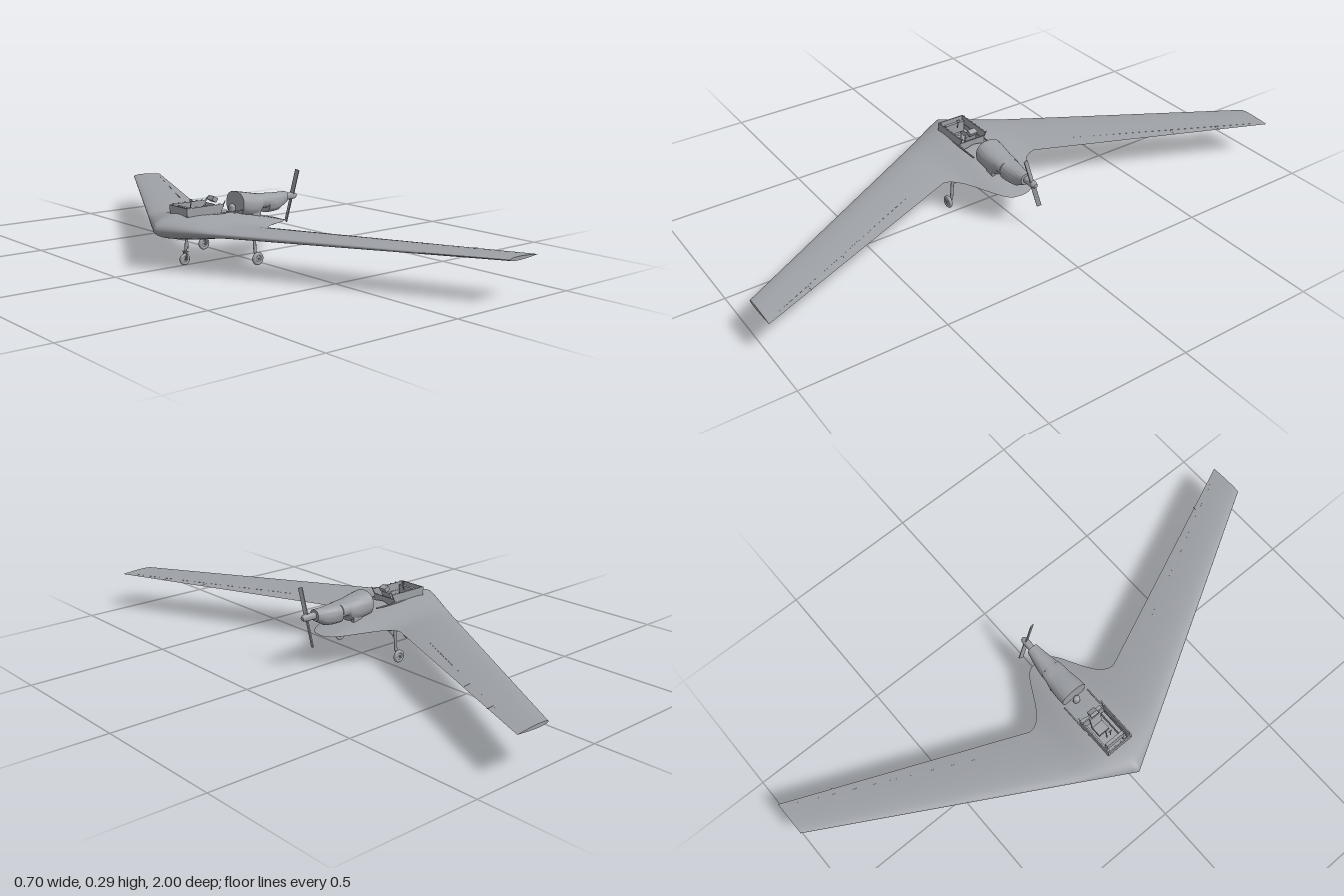
import * as THREE from 'three';
import { toCreasedNormals } from 'three/addons/utils/BufferGeometryUtils.js';

const grey = new THREE.MeshStandardMaterial({ color: 0x9da0a5, side: THREE.DoubleSide });
grey.name = 'airframe grey';

function add(parent, name, geometry, x = 0, y = 0, z = 0) {
  const m = new THREE.Mesh(geometry, grey);
  m.name = name;
  m.position.set(x, y, z);
  parent.add(m);
  return m;
}
const box = (p, name, w, h, d, x, y, z) => add(p, name, new THREE.BoxGeometry(w, h, d), x, y, z);

// Round bar between two points
function bar(parent, name, a, b, r) {
  const A = new THREE.Vector3(...a), B = new THREE.Vector3(...b), d = B.clone().sub(A);
  const m = add(parent, name, new THREE.CylinderGeometry(r, r, d.length(), 12));
  m.position.copy(A).add(B).multiplyScalar(0.5);
  m.quaternion.setFromUnitVectors(new THREE.Vector3(0, 1, 0), d.normalize());
  return m;
}

// Piecewise linear lookup in [[key, value], ...]
function lookup(table, k) {
  for (let i = 1; i < table.length; i++) {
    const [a, va] = table[i - 1], [b, vb] = table[i];
    if (k <= b) return va + (vb - va) * (k - a) / (b - a);
  }
  return table[table.length - 1][1];
}

// Wing planform and section, from the distance s to the centreline
const trailing = [[0, 0.19], [0.03, 0.187], [0.05, 0.175], [0.07, 0.146], [0.09, 0.108], [0.11, 0.07], [0.13, 0.038],
  [0.15, 0.016], [0.17, 0.004], [0.19, 0], [1, 0.35]];
const airfoil = t => Math.max(0, 10 * (0.2969 * Math.sqrt(t) - 0.126 * t - 0.3516 * t * t + 0.2843 * t ** 3 - 0.1036 * t ** 4));
function wingPoint(z, t, side) {
  const s = Math.abs(z);
  const le = -0.352 + 0.572 * s, te = lookup(trailing, s);
  const bulge = 1 - THREE.MathUtils.smoothstep(s, 0, 0.21);
  const outer = THREE.MathUtils.lerp(0.019, 0.006, s);
  const half = THREE.MathUtils.lerp(outer, side > 0 ? 0.049 : 0.041, bulge);
  const teY = THREE.MathUtils.lerp(lookup([[0, 0.128], [1, 0.137]], s), 0.111, bulge);
  return [le + (te - le) * t, 0.137 + (teY - 0.137) * t + side * half * airfoil(t), z];
}

function wingGeometry() {
  const M = 44, cols = 2 * M + 1;
  const half = [0.015, 0.03, 0.045, 0.058, 0.07, 0.08, 0.09, 0.1, 0.11, 0.12, 0.13, 0.14, 0.15, 0.16, 0.17, 0.18, 0.19,
    0.21, 0.25, 0.35, 0.5, 0.65, 0.8, 0.92, 1];
  const zs = [...half.map(v => -v).reverse(), 0, ...half];
  const pos = [], idx = [];
  const chord = j => (1 - Math.cos(Math.PI * Math.abs(j - M) / M)) / 2;
  for (const z of zs) for (let j = 0; j < cols; j++) pos.push(...wingPoint(z, chord(j), j <= M ? 1 : -1));
  for (let i = 0; i < zs.length - 1; i++) for (let j = 0; j < cols - 1; j++) {
    const a = i * cols + j, b = a + cols;
    const x = (pos[a * 3] + pos[b * 3 + 3]) / 2, z = (zs[i] + zs[i + 1]) / 2;
    // Cockpit opening
    if (j < M && Math.abs(z) < 0.045 && x > -0.245 && x < -0.1) continue;
    idx.push(a, a + 1, b + 1, a, b + 1, b);
  }
  // Flat tip caps on their own vertices
  for (const [z, right] of [[-1, true], [1, false]]) {
    const base = pos.length / 3;
    for (let j = 0; j < cols; j++) pos.push(...wingPoint(z, chord(j), j <= M ? 1 : -1));
    for (let j = 0; j < M; j++) {
      const a = base + j, b = a + 1, c = base + cols - 2 - j, d = c + 1;
      if (right) idx.push(a, c, b, a, d, c); else idx.push(a, b, c, a, c, d);
    }
  }
  const g = new THREE.BufferGeometry();
  g.setAttribute('position', new THREE.Float32BufferAttribute(pos, 3));
  g.setIndex(idx);
  g.computeVertexNormals();
  return g;
}

// Rounded tube through stations [x, top, bottom, half width], capped at both ends
function loft(stations, N = 32) {
  const pos = [], idx = [], round = v => Math.sign(v) * Math.abs(v) ** 0.85;
  for (const [x, top, bottom, w] of stations) for (let k = 0; k < N; k++) {
    const a = 2 * Math.PI * k / N;
    pos.push(x, (top + bottom) / 2 + (top - bottom) / 2 * round(Math.cos(a)), w * round(Math.sin(a)));
  }
  for (let i = 0; i < stations.length - 1; i++) for (let k = 0; k < N; k++) {
    const a = i * N + k, b = i * N + (k + 1) % N;
    idx.push(a, b + N, b, a, a + N, b + N);
  }
  const last = (stations.length - 1) * N;
  for (let k = 1; k < N - 1; k++) idx.push(0, k, k + 1, last, last + k + 1, last + k);
  const g = new THREE.BufferGeometry();
  g.setAttribute('position', new THREE.Float32BufferAttribute(pos, 3));
  g.setIndex(idx);
  return toCreasedNormals(g, 0.6);
}

function wheel(parent, x, y, z, r, w) {
  const g = new THREE.Group();
  g.name = 'wheel';
  g.position.set(x, y, z);
  add(g, 'tyre', new THREE.TorusGeometry(r - w / 2, w / 2, 12, 32));
  add(g, 'hub', new THREE.CylinderGeometry(r * 0.7, r * 0.7, w * 0.6, 24)).rotation.x = Math.PI / 2;
  add(g, 'axle', new THREE.CylinderGeometry(0.003, 0.003, w * 1.3, 12)).rotation.x = Math.PI / 2;
  parent.add(g);
}

export function createModel() {
  const root = new THREE.Group();
  root.name = 'flyingWingAircraft';
  const group = name => { const g = new THREE.Group(); g.name = name; root.add(g); return g; };

  add(root, 'wing', wingGeometry());

  // Cockpit tub: side panels with a raked rear edge, bulkheads and floor
  const cockpit = group('cockpit');
  const panel = new THREE.Shape([[-0.249, 0.13], [-0.249, 0.203], [-0.1, 0.203], [-0.092, 0.213], [-0.112, 0.172], [-0.112, 0.13]]
    .map(p => new THREE.Vector2(...p)));
  for (const s of [-1, 1]) {
    add(cockpit, 'sidePanel', new THREE.ExtrudeGeometry(panel, { depth: 0.004, bevelEnabled: false }), 0, 0, s * 0.05 - 0.002);
    box(cockpit, 'sideConsole', 0.12, 0.02, 0.012, -0.175, 0.15, s * 0.039);
    box(cockpit, 'sillRail', 0.2, 0.004, 0.004, -0.12, 0.172, s * 0.052);
    for (let i = 0; i < 6; i++) box(cockpit, 'canopyLatch', 0.005, 0.003, 0.005, -0.235 + i * 0.024, 0.204, s * 0.05);
  }
  box(cockpit, 'frontBulkhead', 0.004, 0.073, 0.1, -0.248, 0.166, 0);
  box(cockpit, 'rearBulkhead', 0.004, 0.06, 0.1, -0.108, 0.155, 0);
  box(cockpit, 'floor', 0.14, 0.004, 0.1, -0.178, 0.122, 0);
  box(cockpit, 'instrumentPanel', 0.012, 0.04, 0.075, -0.222, 0.178, 0);
  box(cockpit, 'seatCushion', 0.04, 0.012, 0.044, -0.15, 0.145, 0);
  box(cockpit, 'seatBack', 0.008, 0.058, 0.044, -0.124, 0.172, 0).rotation.z = -0.25;
  const headrest = box(cockpit, 'headrest', 0.02, 0.016, 0.03, -0.108, 0.214, 0);
  headrest.rotation.z = -0.5;
  bar(cockpit, 'controlStick', [-0.185, 0.124, 0], [-0.178, 0.17, 0], 0.002);
  bar(cockpit, 'gunsight', [-0.201, 0.19, 0], [-0.197, 0.222, 0], 0.0018);
  box(cockpit, 'sightGlass', 0.003, 0.008, 0.012, -0.198, 0.218, 0);

  // Engine nacelle with its rear lower cowling, and a fairing ahead of it
  const engine = group('engine');
  add(engine, 'nacelle', loft([[-0.01, 0.23, 0.145, 0.05], [0.02, 0.225, 0.14, 0.05], [0.05, 0.219, 0.135, 0.047],
    [0.075, 0.214, 0.14, 0.044], [0.088, 0.212, 0.16, 0.042], [0.115, 0.21, 0.16, 0.039], [0.116, 0.21, 0.142, 0.038],
    [0.15, 0.208, 0.142, 0.033], [0.175, 0.207, 0.145, 0.028], [0.195, 0.207, 0.157, 0.024], [0.213, 0.207, 0.167, 0.021]]));
  add(engine, 'frontFairing', new THREE.CapsuleGeometry(0.011, 0.03, 8, 16), -0.024, 0.162, 0).scale.set(1, 1, 1.2);
  for (const s of [-1, 1]) box(engine, 'nacelleFoot', 0.035, 0.035, 0.012, 0.055, 0.142, s * 0.034);

  // Spinner, shaft and a two-blade propeller
  const prop = group('propeller');
  prop.position.set(0.247, 0.187, 0);
  const spinner = [[0, -0.033], [0.0125, -0.033], [0.0125, 0.004], [0.011, 0.012], [0.007, 0.019], [0, 0.022]];
  add(prop, 'spinner', toCreasedNormals(new THREE.LatheGeometry(spinner.map(p => new THREE.Vector2(...p)), 28), 0.6)).rotation.z = -Math.PI / 2;
  const blades = new THREE.Group();
  blades.name = 'blades';
  blades.rotation.x = 0.3;
  prop.add(blades);
  for (const s of [-1, 1]) {
    const blade = box(blades, 'blade', 0.004, 0.1, 0.016, 0, s * 0.052, 0);
    blade.rotation.y = s * 0.3;
  }

  // Nose gear
  const nose = group('noseGear');
  wheel(nose, -0.226, 0.02, 0, 0.02, 0.012);
  bar(nose, 'upperStrut', [-0.22, 0.055, 0], [-0.216, 0.11, 0], 0.0055);
  bar(nose, 'lowerStrut', [-0.223, 0.045, 0], [-0.22, 0.065, 0], 0.004);
  bar(nose, 'dragBrace', [-0.212, 0.055, 0], [-0.216, 0.1, 0], 0.0025);
  box(nose, 'forkCrown', 0.01, 0.005, 0.022, -0.223, 0.046, 0);
  for (const s of [-1, 1]) {
    bar(nose, 'forkLeg', [-0.226, 0.02, s * 0.009], [-0.223, 0.047, s * 0.009], 0.0025);
    box(nose, 'gearDoor', 0.055, 0.012, 0.002, -0.24, 0.1, s * 0.018);
  }

  // Main gear
  for (const s of [-1, 1]) {
    const main = group(s > 0 ? 'leftMainGear' : 'rightMainGear');
    wheel(main, -0.033, 0.0225, s * 0.153, 0.0225, 0.013);
    bar(main, 'strut', [-0.033, 0.04, s * 0.138], [-0.033, 0.122, s * 0.132], 0.0055);
    bar(main, 'lowerLeg', [-0.033, 0.0225, s * 0.14], [-0.033, 0.05, s * 0.138], 0.004);
    bar(main, 'axle', [-0.033, 0.0225, s * 0.139], [-0.033, 0.0225, s * 0.155], 0.003);
    bar(main, 'retractionArm', [-0.033, 0.107, s * 0.132], [-0.08, 0.105, s * 0.125], 0.003);
    bar(main, 'sideBrace', [-0.033, 0.085, s * 0.134], [-0.033, 0.106, s * 0.09], 0.003);
    box(main, 'gearDoor', 0.05, 0.002, 0.02, -0.05, 0.106, s * 0.108);
  }

  // Hinge covers along the trailing edge, tab lines and underside hatches
  const fittings = group('wingFittings');
  for (const s of [-1, 1]) {
    const surface = (x, z, side) => {
      const le = wingPoint(z, 0, side)[0], te = wingPoint(z, 1, side)[0];
      return wingPoint(z, (x - le) / (te - le), side)[1];
    };
    for (let i = 0; i < 28; i++) {
      const z = 0.36 + i * 0.0217, x = 0.02 + (z - 0.35) * 0.49;
      box(fittings, 'hingeCover', 0.002, 0.0012, 0.013, x, surface(x, z * s, 1), z * s).rotation.y = s * 0.456;
    }
    for (const z of [0.675, 0.83]) {
      const x = 0.025 + (z - 0.35) * 0.49;
      box(fittings, 'tabLine', 0.04, 0.001, 0.002, x, surface(x, z * s, 1), z * s).rotation.z = -0.08;
    }
    for (const [x, z] of [[-0.05, 0.3], [0.06, 0.48], [0.14, 0.66]]) {
      add(fittings, 'hatch', new THREE.CylinderGeometry(0.012, 0.012, 0.002, 20), x, surface(x, z * s, -1), z * s);
    }
  }
  return root;
}
